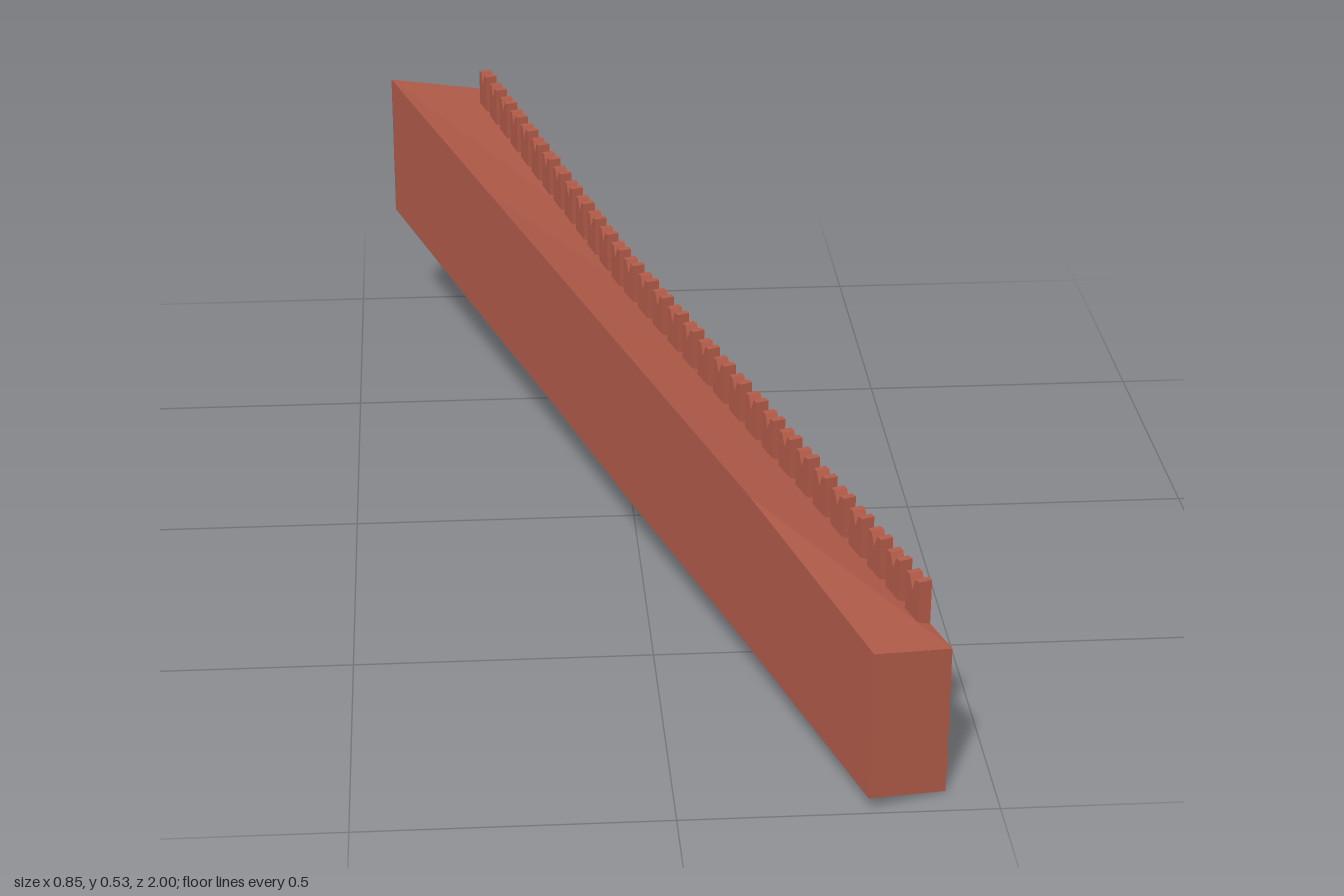
import * as THREE from 'three';

export function createModel() {
  const group = new THREE.Group();
  const brick = new THREE.MeshStandardMaterial({ color: 0xb55d4a, side: THREE.DoubleSide, flatShading: true });
  brick.name = 'brick red';

  // Wall cross-sections from back to front:
  // inner side x, z, top, bottom, then outer side x, z, top, bottom
  const stations = [
    [-0.425, -0.945, 0.503, 0.223, -0.249, -1, 0.46, 0.187],
    [-0.242, -0.45, 0.452, 0.173, -0.079, -0.45, 0.402, 0.142],
    [-0.138, -0.17, 0.423, 0.147, 0.008, -0.17, 0.372, 0.113],
    [-0.024, 0.14, 0.392, 0.113, 0.123, 0.14, 0.34, 0.08],
    [0.147, 0.6, 0.344, 0.071, 0.295, 0.6, 0.292, 0.038],
    [0.295, 1, 0.282, 0.027, 0.423, 0.945, 0.255, 0],
  ];
  const rings = stations.map(([lx, lz, lt, lb, rx, rz, rt, rb]) =>
    [[lx, lb, lz], [lx, lt, lz], [rx, rt, rz], [rx, rb, rz]]);
  const pos = [];
  const quad = (a, b, c, d) => pos.push(...a, ...b, ...c, ...a, ...c, ...d);
  for (let i = 0; i < rings.length - 1; i++) {
    // inner side, top and outer side; the underside stays open
    for (let k = 0; k < 3; k++) quad(rings[i][k], rings[i + 1][k], rings[i + 1][k + 1], rings[i][k + 1]);
  }
  const [b, f] = [rings[0], rings[rings.length - 1]];
  quad(b[0], b[1], b[2], b[3]);
  quad(f[3], f[2], f[1], f[0]);
  const wallGeometry = new THREE.BufferGeometry();
  wallGeometry.setAttribute('position', new THREE.Float32BufferAttribute(pos, 3));
  wallGeometry.computeVertexNormals();
  const wall = new THREE.Mesh(wallGeometry, brick);
  wall.name = 'wall';
  group.add(wall);

  // Swallowtail merlon, base at y = 0, outer face at z = 0
  const W = 0.021, H = 0.075, T = 0.022;
  const outline = new THREE.Shape();
  outline.moveTo(-W, -0.008);
  outline.lineTo(W, -0.008);
  outline.lineTo(W, H);
  outline.lineTo(W * 0.45, H);
  outline.lineTo(0, H - 0.022);
  outline.lineTo(-W * 0.45, H);
  outline.lineTo(-W, H);
  outline.closePath();
  const merlonGeometry = new THREE.ExtrudeGeometry(outline, { depth: T, bevelEnabled: false });
  merlonGeometry.translate(0, 0, -T - 0.0005);

  // Top outer edge of the wall, bending once along its length
  const back = new THREE.Vector3(-0.249, 0.46, -1);
  const bend = new THREE.Vector3(0.008, 0.372, -0.17);
  const front = new THREE.Vector3(0.423, 0.255, 0.945);

  const merlons = new THREE.Group();
  merlons.name = 'merlons';
  function addRow(from, to, zStart, zEnd, count) {
    const angle = Math.atan2(to.z - from.z, to.x - from.x);
    for (let i = 0; i < count; i++) {
      const z = zStart + (zEnd - zStart) * i / (count - 1);
      const merlon = new THREE.Mesh(merlonGeometry, brick);
      merlon.position.lerpVectors(from, to, (z - from.z) / (to.z - from.z));
      merlon.rotation.y = Math.PI - angle; // outer face towards +x
      merlon.name = 'merlon';
      merlons.add(merlon);
    }
  }
  addRow(back, bend, -0.91, -0.195, 13);
  addRow(bend, front, -0.138, 0.86, 18);
  group.add(merlons);
  return group;
}
